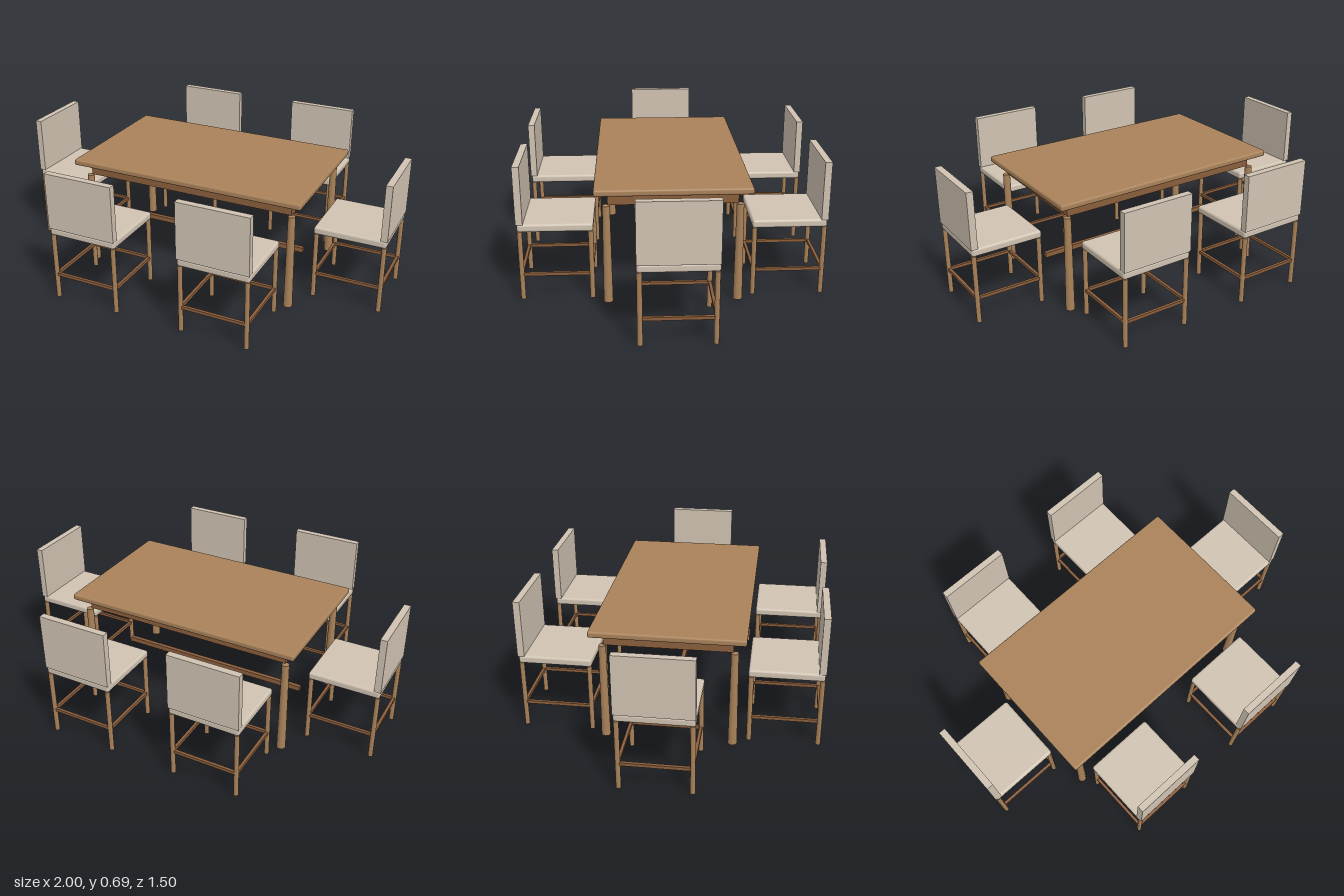
import * as THREE from 'three';
import { RoundedBoxGeometry } from 'three/addons/geometries/RoundedBoxGeometry.js';

const wood = new THREE.MeshStandardMaterial({ color: 0xa9825a });
const darkWood = new THREE.MeshStandardMaterial({ color: 0x8b5e3c });
const fabric = new THREE.MeshStandardMaterial({ color: 0xd0c3b2 });

function add(parent, name, geometry, material, x, y, z) {
  const mesh = new THREE.Mesh(geometry, material);
  mesh.name = name;
  mesh.position.set(x, y, z);
  parent.add(mesh);
  return mesh;
}
const box = (w, h, d) => new THREE.BoxGeometry(w, h, d);

function createTable() {
  const table = new THREE.Group();
  table.name = 'table';
  add(table, 'tableTop', new RoundedBoxGeometry(1.25, 0.032, 0.748, 3, 0.01), wood, 0, 0.58, 0);

  // Apron frame and tapered legs
  for (const s of [-1, 1]) {
    add(table, 'longApron', box(1.12, 0.066, 0.025), darkWood, 0, 0.533, s * 0.298);
    add(table, 'endApron', box(0.025, 0.066, 0.571), darkWood, s * 0.5475, 0.533, 0);
    for (const t of [-1, 1]) {
      add(table, 'tableLeg', new THREE.CylinderGeometry(0.018, 0.023, 0.5, 16), wood, s * 0.564, 0.25, t * 0.317);
    }
  }
  add(table, 'tableStretcher', box(1.05, 0.027, 0.022), darkWood, 0, 0.147, 0);
  return table;
}

// Chair with its backrest on local +z, sitter facing -z
function createChair() {
  const chair = new THREE.Group();
  const r = 0.17;
  add(chair, 'seat', new RoundedBoxGeometry(0.366, 0.04, 0.364, 3, 0.012), fabric, 0, 0.375, -0.001);
  add(chair, 'backrest', box(0.366, 0.292, 0.034), fabric, 0, 0.539, 0.168);
  for (const s of [-1, 1]) {
    for (const t of [-1, 1]) {
      add(chair, 'chairLeg', new THREE.CylinderGeometry(0.0125, 0.0125, 0.356, 8), wood, s * r, 0.178, t * r);
    }
    add(chair, 'sideStretcher', box(0.015, 0.016, 2 * r), darkWood, s * r, 0.131, 0);
    add(chair, 'crossStretcher', box(2 * r, 0.016, 0.015), darkWood, 0, 0.131, s * r);
  }
  return chair;
}

export function createModel() {
  const model = new THREE.Group();
  model.name = 'diningSet';
  model.add(createTable());

  // Two chairs on each long side, one at each end: x, z, turn
  const places = [
    [-0.35, 0.565, 0], [0.35, 0.565, 0],
    [-0.35, -0.567, Math.PI], [0.35, -0.567, Math.PI],
    [0.815, 0, Math.PI / 2], [-0.815, 0, -Math.PI / 2],
  ];
  for (const [x, z, turn] of places) {
    const chair = createChair();
    chair.name = 'chair';
    chair.position.set(x, 0, z);
    chair.rotation.y = turn;
    model.add(chair);
  }
  return model;
}
